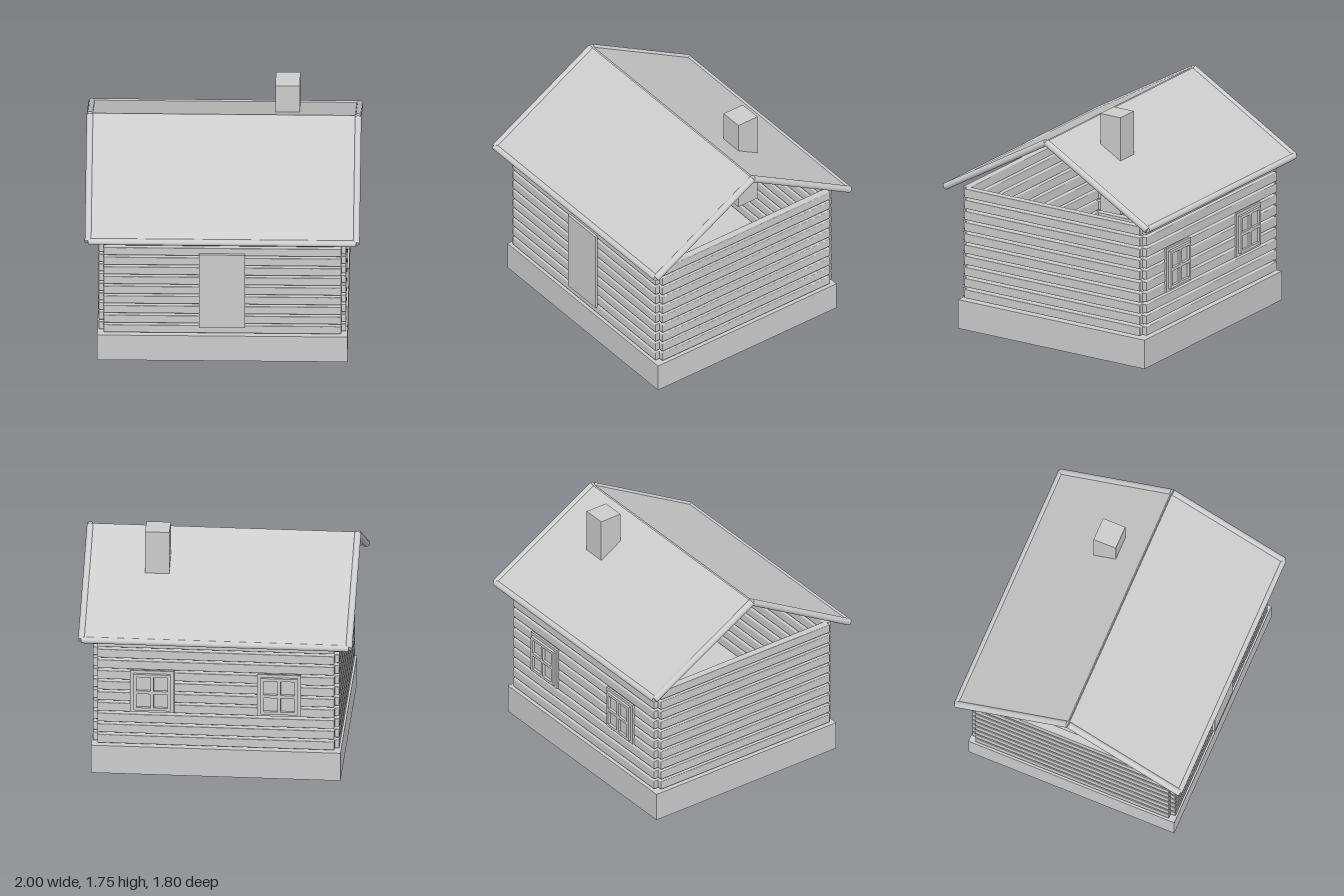
import * as THREE from 'three';
import { RoundedBoxGeometry } from 'three/addons/geometries/RoundedBoxGeometry.js';

const grey = new THREE.MeshStandardMaterial({ color: 0xcccccc });
grey.name = 'plain grey';

function add(parent, name, geometry, x, y, z) {
  const mesh = new THREE.Mesh(geometry, grey);
  mesh.name = name;
  mesh.position.set(x, y, z);
  parent.add(mesh);
  return mesh;
}

function group(parent, name) {
  const g = new THREE.Group();
  g.name = name;
  parent.add(g);
  return g;
}

// One window: backing frame plus a raised sash with four panes
function buildWindow(parent, x) {
  const win = group(parent, 'window');
  win.position.set(x, 0.673, -0.8);
  add(win, 'windowFrame', new THREE.BoxGeometry(0.32, 0.335, 0.016), 0, 0, -0.008);
  const w = 0.135, h = 0.145, bar = 0.012, rim = 0.022;
  const sash = new THREE.Shape([
    new THREE.Vector2(-w, -h), new THREE.Vector2(w, -h),
    new THREE.Vector2(w, h), new THREE.Vector2(-w, h),
  ]);
  for (const sx of [-1, 1]) for (const sy of [-1, 1]) {
    const x0 = sx * bar, x1 = sx * (w - rim), y0 = sy * bar, y1 = sy * (h - rim);
    sash.holes.push(new THREE.Path([
      new THREE.Vector2(x0, y0), new THREE.Vector2(x0, y1),
      new THREE.Vector2(x1, y1), new THREE.Vector2(x1, y0),
    ]));
  }
  add(win, 'windowSash',
    new THREE.ExtrudeGeometry(sash, { depth: 0.02, bevelEnabled: false }), 0, 0, -0.036);
}

export function createModel() {
  const cabin = new THREE.Group();
  cabin.name = 'logCabin';

  // Foundation
  add(cabin, 'foundation', new THREE.BoxGeometry(1.82, 0.222, 1.625), 0, 0.111, 0);

  // Ten courses of beams with open gaps and notched corners
  const walls = group(cabin, 'walls');
  const longBeam = new RoundedBoxGeometry(1.73, 0.068, 0.06, 1, 0.006);
  const sideBeam = new RoundedBoxGeometry(0.06, 0.068, 1.53, 1, 0.006);
  for (let i = 0; i < 10; i++) {
    const y = 0.273 + i * 0.0862;
    for (const s of [-1, 1]) {
      add(walls, s > 0 ? 'frontBeam' : 'backBeam', longBeam, 0, y, s * 0.772);
      add(walls, s > 0 ? 'leftBeam' : 'rightBeam', sideBeam, s * 0.87, y, 0);
    }
  }

  // Door on the front, windows on the back
  add(cabin, 'door', new THREE.BoxGeometry(0.336, 0.65, 0.02), -0.002, 0.625, 0.811);
  for (const s of [-1, 1]) buildWindow(cabin, s * 0.463);

  // Two roof slopes, each with round trim on the gable edges and the eave
  const pitch = Math.PI / 6;
  const length = 1.015;
  const round = (r, l) => new THREE.CylinderGeometry(r, r, l, 24);
  for (const s of [1, -1]) {
    const slope = group(cabin, s > 0 ? 'frontRoof' : 'backRoof');
    slope.position.y = 1.609;
    slope.rotation.order = 'YXZ';
    slope.rotation.set(pitch, s > 0 ? 0 : Math.PI, 0);
    add(slope, 'roofPanel', new THREE.BoxGeometry(1.95, 0.024, length), 0, 0, length / 2);
    for (const e of [-1, 1]) {
      add(slope, 'gableTrim', round(0.025, length), e * 0.975, 0, length / 2).rotation.x = Math.PI / 2;
    }
    add(slope, 'eaveTrim', round(0.023, 1.95), 0, 0, length - 0.002).rotation.z = Math.PI / 2;
  }

  // Chimney through the back slope
  add(cabin, 'chimney', new THREE.BoxGeometry(0.178, 0.75, 0.175), 0.461, 1.37, -0.278);

  return cabin;
}
